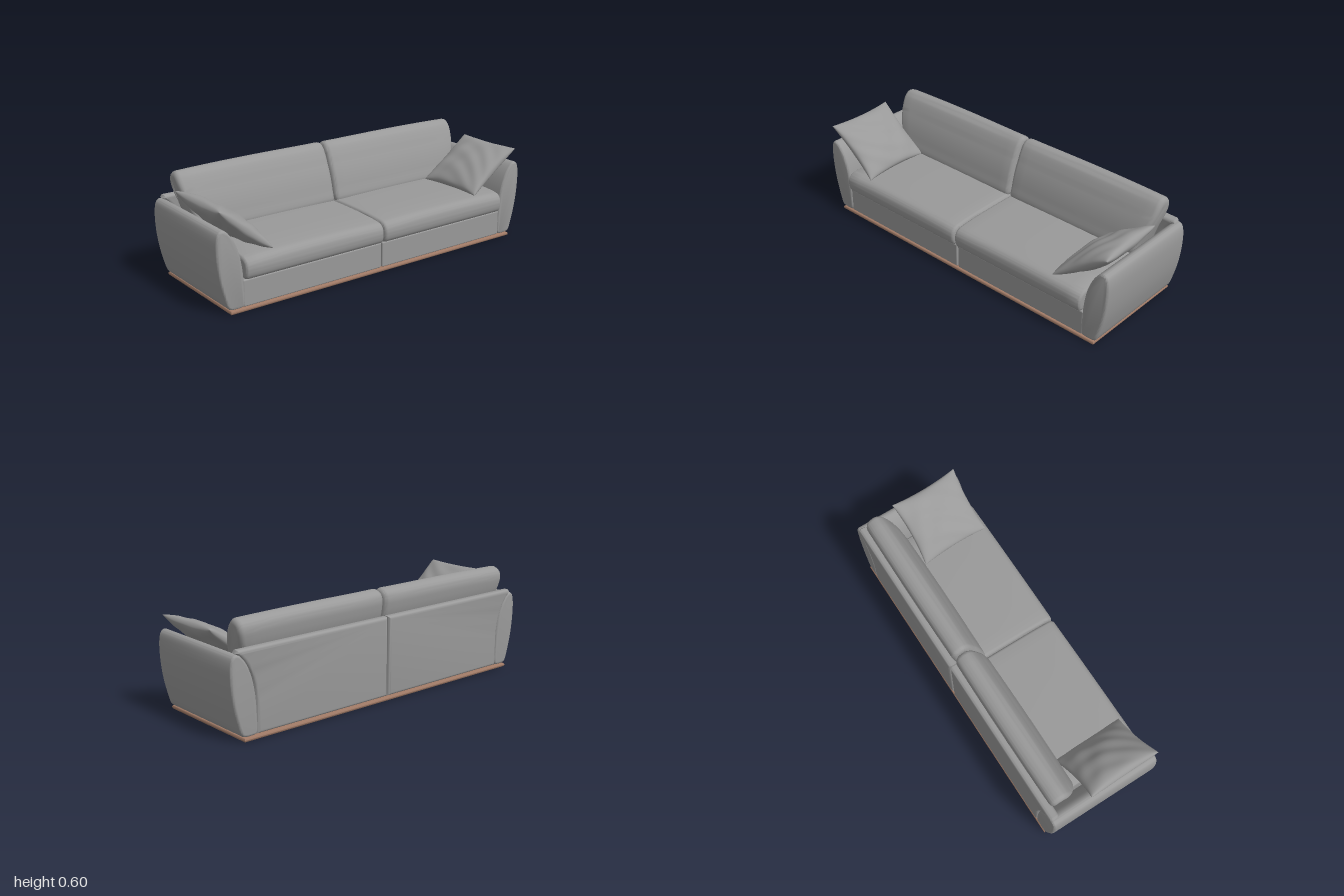
import * as THREE from 'three';
import { mergeGeometries, mergeVertices, toCreasedNormals } from 'three/addons/utils/BufferGeometryUtils.js';
import { RoundedBoxGeometry } from 'three/addons/geometries/RoundedBoxGeometry.js';

const fabric = new THREE.MeshStandardMaterial({ color: 0x999999 });
fabric.name = 'grey fabric';
const wood = new THREE.MeshStandardMaterial({ color: 0xa07a66 });
wood.name = 'brown wood';

// Closed smooth outline through a few points
function outline(points) {
  const curve = new THREE.CatmullRomCurve3(points.map(([x, y]) => new THREE.Vector3(x, y, 0)), true, 'centripetal');
  return new THREE.Shape(curve.getPoints(64).slice(0, -1).map(p => new THREE.Vector2(p.x, p.y)));
}

// Extrusion with soft edges whose overall size is exactly outline x depth
function softExtrude(shape, depth, bevel, steps = 1) {
  const g = new THREE.ExtrudeGeometry(shape, {
    depth: depth - 2 * bevel, steps, bevelEnabled: true, bevelThickness: bevel,
    bevelSize: bevel, bevelOffset: -bevel, bevelSegments: 4, curveSegments: 8,
  });
  return g.translate(0, 0, bevel);
}

// Side profile given as [z, y], swept along x from x = 0
function sweepX(points, width, bevel, steps) {
  return softExtrude(outline(points.map(([z, y]) => [-z, y])), width, bevel, steps).rotateY(Math.PI / 2);
}

// Move every vertex by a rule
function bend(g, rule) {
  const p = g.attributes.position, v = new THREE.Vector3();
  for (let i = 0; i < p.count; i++) {
    rule(v.fromBufferAttribute(p, i));
    p.setXYZ(i, v.x, v.y, v.z);
  }
  return g;
}

// Creased, stuffed scatter cushion lying flat with its thickness along y
function pillowGeometry(halfLength, halfWidth, halfThick, seed) {
  const sides = [1, -1].map(side => {
    const g = new THREE.PlaneGeometry(2, 2, 32, 32);
    if (side < 0) g.rotateY(Math.PI);
    return bend(g, p => {
      const u = Math.sin(p.x * Math.PI / 2), v = Math.sin(p.y * Math.PI / 2);
      const full = Math.max(0, (1 - u * u) * (1 - v * v));
      const crease = 0.006 * Math.sin(7 * u + 4 * v * v + seed) * Math.sin(5 * v - 3 * u + seed * 2);
      p.x = halfLength * u * (1 - 0.07 * (1 - v * v));
      p.y = halfWidth * v * (1 - 0.07 * (1 - u * u));
      p.z = side * (halfThick * Math.pow(full, 0.4) + crease * Math.sqrt(full));
    });
  });
  const merged = mergeGeometries(sides);
  merged.deleteAttribute('normal');
  merged.deleteAttribute('uv');
  const g = mergeVertices(merged, 1e-4);
  g.computeVertexNormals();
  return g.rotateX(-Math.PI / 2);
}

export function createModel() {
  const sofa = new THREE.Group();
  sofa.name = 'sofa';
  const add = (name, geometry, material = fabric) => {
    const mesh = new THREE.Mesh(geometry, material);
    mesh.name = name;
    sofa.add(mesh);
    return mesh;
  };
  const smooth = g => toCreasedNormals(g, 0.7);

  // Wooden plinth ring
  const rectangle = (Type, x, z0, z1) => new Type([[-x, z0], [x, z0], [x, z1], [-x, z1]].map(p => new THREE.Vector2(...p)));
  const ring = rectangle(THREE.Shape, 0.935, -0.333, 0.312);
  ring.holes.push(rectangle(THREE.Path, 0.885, -0.283, 0.262));
  add('plinth', smooth(softExtrude(ring, 0.022, 0.01).rotateX(Math.PI / 2).translate(0, 0.022, 0)), wood);

  for (const s of [1, -1]) {
    const side = s > 0 ? 'left' : 'right';
    const start = w => (s > 0 ? 0.003 : -0.003 - w);

    // Arm: leaf-shaped outline leaning outwards
    const arm = [[0.862, 0.026], [0.93, 0.026], [0.943, 0.035], [0.968, 0.11], [0.988, 0.2], [0.999, 0.3],
      [0.998, 0.39], [0.986, 0.43], [0.968, 0.441], [0.945, 0.434], [0.908, 0.39], [0.875, 0.31],
      [0.858, 0.22], [0.852, 0.12], [0.853, 0.035]];
    add(side + 'Arm', smooth(softExtrude(outline(arm.map(([x, y]) => [s * x, y])), 0.64, 0.013).translate(0, 0, -0.33)));

    // Back panel, its outer edge following the arm
    const panel = new THREE.Shape();
    panel.moveTo(s * 0.003, 0.025);
    panel.lineTo(s * 0.856, 0.025);
    panel.lineTo(s * 0.856, 0.2);
    panel.bezierCurveTo(s * 0.86, 0.31, s * 0.9, 0.4, s * 0.965, 0.445);
    panel.lineTo(s * 0.955, 0.46);
    panel.lineTo(s * 0.003, 0.46);
    add(side + 'BackPanel', smooth(softExtrude(panel, 0.053, 0.018).translate(0, 0, -0.332)));

    // Seat base
    const base = new RoundedBoxGeometry(0.855, 0.142, 0.605, 3, 0.008);
    add(side + 'SeatBase', base.translate(s * 0.4305, 0.094, 0.0025));

    // Seat cushion, crowned on top
    const seat = [[0.3, 0.165], [0.322, 0.176], [0.333, 0.215], [0.328, 0.25], [0.308, 0.273], [0.25, 0.284],
      [0.05, 0.292], [-0.2, 0.29], [-0.28, 0.285], [-0.285, 0.17], [-0.2, 0.165], [0.1, 0.165]];
    const seatWidth = 0.848;
    const seatGeometry = bend(sweepX(seat, seatWidth, 0.018, 12), p => {
      const t = 2 * p.x / seatWidth - 1;
      if (p.y > 0.24) p.y += 0.007 * (1 - t * t);
    });
    add(side + 'SeatCushion', smooth(seatGeometry.translate(start(seatWidth), 0, 0)));

    // Back cushion, reclined, plump in the middle and wider at the top
    const back = [[-0.108, 0.285], [-0.118, 0.36], [-0.14, 0.44], [-0.17, 0.51], [-0.205, 0.572], [-0.232, 0.592],
      [-0.262, 0.589], [-0.29, 0.57], [-0.3, 0.535], [-0.293, 0.48], [-0.278, 0.42], [-0.265, 0.285], [-0.19, 0.275]];
    const backGeometry = bend(sweepX(back, 1, 0.028, 16), p => {
      const t = 2 * p.x - 1;
      const inner = s > 0 ? p.x : 1 - p.x;
      const width = 0.852 + 0.068 * THREE.MathUtils.smoothstep(p.y, 0.26, 0.56);
      if (p.y > 0.5) p.y += 0.006 * (1 - t * t) + 0.006 * Math.exp(-inner * 8);
      p.z += 0.004 * (1 - t * t) * Math.sign(p.z + 0.21);
      p.x = s * (0.003 + inner * width);
    });
    add(side + 'BackCushion', smooth(backGeometry));
  }

  // Scatter cushions leaning on the arms
  const leftPillow = add('leftPillow', pillowGeometry(0.192, 0.203, 0.053, 1.3));
  leftPillow.position.set(0.81, 0.406, 0.1);
  leftPillow.rotation.set(0, 0.03, 0.61);
  const rightPillow = add('rightPillow', pillowGeometry(0.192, 0.207, 0.056, 3.1));
  rightPillow.position.set(-0.832, 0.414, 0.098);
  rightPillow.rotation.set(0, 0.02, -0.69);

  return sofa;
}
